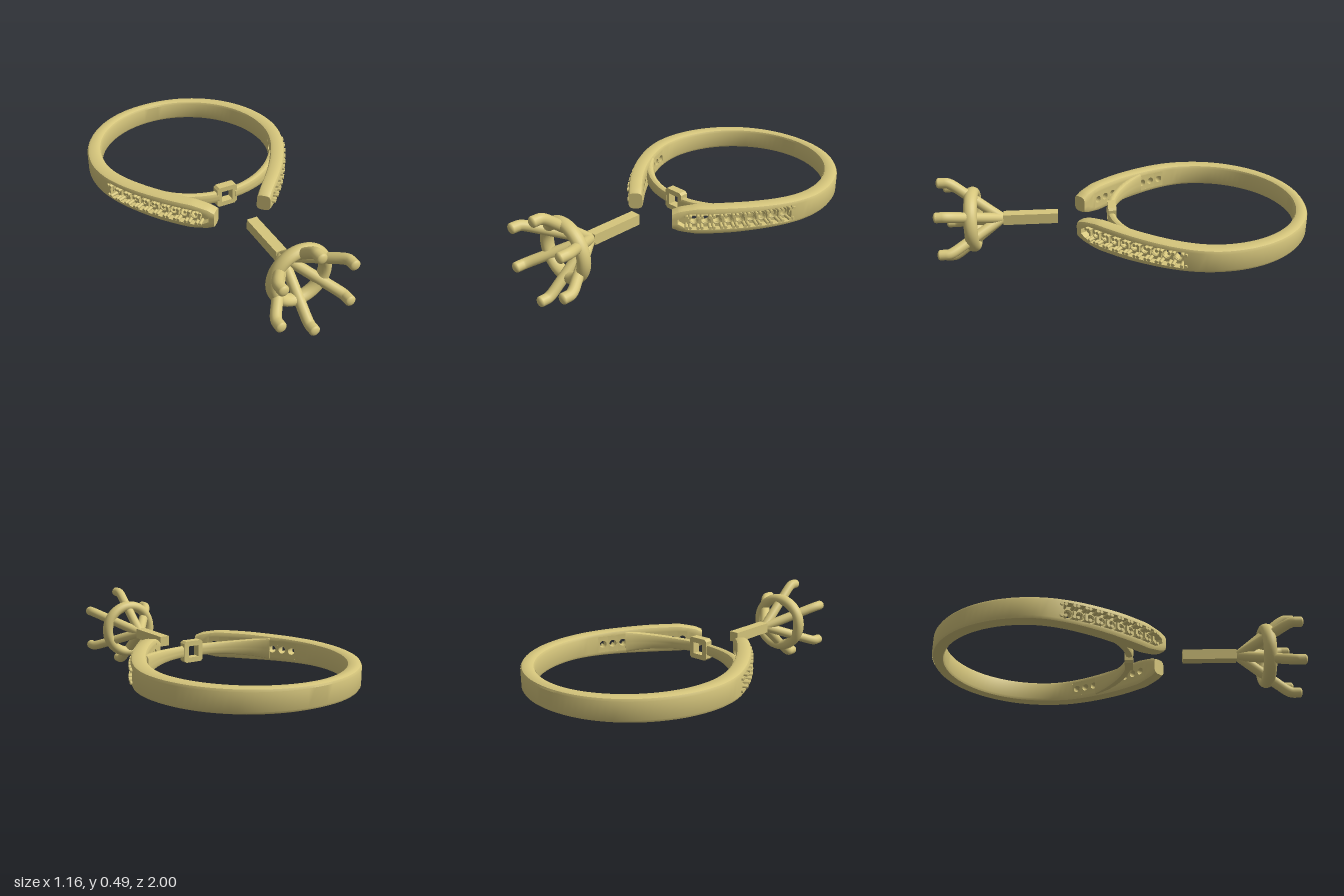
import * as THREE from 'three';
import { toCreasedNormals } from 'three/addons/utils/BufferGeometryUtils.js';

const CY = 0.25, CZ = -0.44, R = 0.495; // ring axis height, centre and inner radius
const PITCH = 0.058, CELLS = 9, S0 = 0.085, S1 = S0 + PITCH * CELLS; // stone channel
const UP = new THREE.Vector3(0, 1, 0);

// linear lookup in a small [position, value] table
function lerpTable(table, s) {
  for (let i = 1; i < table.length; i++) {
    if (s <= table[i][0]) {
      const [a, va] = table[i - 1], [b, vb] = table[i];
      return va + (vb - va) * (s - a) / (b - a);
    }
  }
  return table[table.length - 1][1];
}

function frameAt(curve, u) {
  const T = curve.getTangentAt(u).normalize();
  return { P: curve.getPointAt(u), T, N: new THREE.Vector3().crossVectors(T, UP) };
}

// rounded band section as [y, outward]; a groove of half width g and depth d runs along the outer face
function section({ h, t, g, d, c }) {
  const k = c * 0.3;
  const half = [[g, 0], [h - c, 0], [h - k, k], [h, c], [h, t - c], [h - k, t - k], [h - c, t], [g, t], [g, t - d]];
  return [...half, ...half.map(([y, n]) => [-y, n]).reverse()];
}

// sweep of sections; open stations leave the channel floor and the inner strip out
function loft(curve, stations) {
  const pos = [], idx = [];
  let n = 0;
  for (const st of stations) {
    const { P, N } = frameAt(curve, st.u);
    const pts = section(st);
    n = pts.length;
    for (const [y, o] of pts) pos.push(P.x + N.x * o, P.y + y, P.z + N.z * o);
  }
  for (let i = 0; i < stations.length - 1; i++) {
    const open = stations[i].open && stations[i + 1].open;
    for (let j = 0; j < n; j++) {
      if (open && (j === n / 2 - 1 || j === n - 1)) continue;
      const k = (j + 1) % n, a = i * n + j, b = i * n + k;
      idx.push(a, b, a + n, b, b + n, a + n);
    }
  }
  const e = (stations.length - 1) * n;
  for (let j = 1; j < n - 1; j++) idx.push(0, j + 1, j, e, e + j, e + j + 1);
  const geo = new THREE.BufferGeometry();
  geo.setAttribute('position', new THREE.Float32BufferAttribute(pos, 3));
  geo.setIndex(idx);
  return toCreasedNormals(geo, 0.7);
}

export function createModel() {
  const root = new THREE.Group();
  const gold = new THREE.MeshStandardMaterial({ color: 0xd6c67c });
  const add = (parent, geo, name) => {
    const m = new THREE.Mesh(geo, gold);
    m.name = name;
    parent.add(m);
    return m;
  };

  // Band: inner line from the left shoulder tip, round the back, to the right tip
  const tip = [[0.115, 0.215], [0.24, 0.085], [0.335, -0.035], [0.405, -0.145]];
  const line = tip.map(([x, z]) => new THREE.Vector3(x, CY, z));
  for (let a = 115; a >= -115; a -= 11.5) {
    const r = a * Math.PI / 180;
    line.push(new THREE.Vector3(R * Math.sin(r), CY, CZ - R * Math.cos(r)));
  }
  line.push(...tip.map(([x, z]) => new THREE.Vector3(-x, CY, z)).reverse());
  const path = new THREE.CatmullRomCurve3(line);
  path.arcLengthDivisions = 800;
  const L = path.getLength();
  const heights = [[0, 0.045], [0.04, 0.062], [0.13, 0.077], [0.3, 0.076], [0.75, 0.063], [1.5, 0.06]];
  const thick = [[0, 0.075], [0.3, 0.08], [0.75, 0.085], [1.5, 0.063]];
  const widths = [[0, 0.012], [0.03, 0.012], [S0, 0.045], [S1, 0.045]];
  const station = (s, depth, open = false) => {
    const t = lerpTable(thick, s);
    return { s, h: lerpTable(heights, s), t, g: lerpTable(widths, s), d: open ? t : depth, c: 0.02, open };
  };
  const side = [station(0, 0), station(0.015, 0), station(0.03, 0), station(0.036, 0.04), station(0.06, 0.04), station(S0, 0.04)];
  for (let i = 0; i <= CELLS * 3; i++) side.push(station(S0 + i * PITCH / 3, 0, true));
  for (let i = 0; i <= 30; i++) side.push(station(S1 + (L / 2 - S1) * i / 30, 0));
  const stations = side.map(o => ({ ...o, u: o.s / L }));
  stations.push(...side.slice(0, -1).reverse().map(o => ({ ...o, u: 1 - o.s / L })));
  add(root, loft(path, stations), 'band');

  // Stone channels: pierced floor plates, seats and beads along each shoulder
  const plate = new THREE.Shape();
  const pw = PITCH * 0.52, ph = 0.046;
  plate.moveTo(-pw, -ph).lineTo(pw, -ph).lineTo(pw, ph).lineTo(-pw, ph).closePath();
  plate.holes.push(new THREE.Path().absarc(0, 0, 0.02, 0, Math.PI * 2, true));
  const plateGeo = new THREE.ExtrudeGeometry(plate, { depth: 0.042, bevelEnabled: false, curveSegments: 16 });
  const seatGeo = new THREE.TorusGeometry(0.025, 0.005, 8, 24);
  const beadGeo = new THREE.CylinderGeometry(0.009, 0.009, 1, 10).rotateX(Math.PI / 2);
  const webGeo = new THREE.BoxGeometry(0.012, 0.03, 0.03);
  const placed = (s, mirrored, name) => {
    const { P, T, N } = frameAt(path, mirrored ? 1 - s / L : s / L);
    const g = new THREE.Group();
    g.name = name;
    g.applyMatrix4(new THREE.Matrix4().makeBasis(T, UP, N).setPosition(P));
    root.add(g);
    return g;
  };
  for (const mirrored of [false, true]) {
    const label = mirrored ? 'right' : 'left';
    for (let i = 0; i < CELLS; i++) {
      const cell = placed(S0 + (i + 0.5) * PITCH, mirrored, label + 'StoneSeat');
      add(cell, plateGeo, 'seatPlate');
      add(cell, seatGeo, 'seatRim').position.z = 0.045;
    }
    for (let i = 0; i <= CELLS; i++) {
      const s = S0 + i * PITCH, top = lerpTable(thick, s) + 0.01;
      const row = placed(s, mirrored, label + 'BeadRow');
      add(row, webGeo, 'web').position.z = 0.052;
      for (const y of [-0.031, 0.031]) for (const x of [-0.01, 0.01]) {
        const bead = add(row, beadGeo, 'bead');
        bead.scale.z = top - 0.03;
        bead.position.set(x, y, (top + 0.03) / 2);
      }
    }
  }

  // Bridge: two tapering arms closing the finger hole at the front
  for (const sgn of [-1, 1]) {
    const pts = [];
    for (let i = 0; i <= 8; i++) {
      const a = (sgn < 0 ? -52 + 47 * i / 8 : 5 + 47 * i / 8) * Math.PI / 180;
      pts.push(new THREE.Vector3(R * Math.sin(a), CY, CZ + R * Math.cos(a)));
    }
    const arm = [];
    for (let i = 0; i <= 24; i++) {
      const u = i / 24, out = sgn < 0 ? 1 - u : u;
      arm.push({ u, h: 0.032 + 0.03 * out * out, t: 0.042, g: 0.005, d: 0, c: 0.017 });
    }
    add(root, loft(new THREE.CatmullRomCurve3(pts), arm), sgn < 0 ? 'rightBridgeArm' : 'leftBridgeArm');
  }

  // Collar: square socket in the middle of the bridge
  const collar = new THREE.Shape();
  const o = 0.06, b = 0.012, q = 0.032;
  collar.moveTo(-o + b, -o).lineTo(o - b, -o).lineTo(o, -o + b).lineTo(o, o - b)
    .lineTo(o - b, o).lineTo(-o + b, o).lineTo(-o, o - b).lineTo(-o, -o + b).closePath();
  collar.holes.push(new THREE.Path().moveTo(-q, -q).lineTo(-q, q).lineTo(q, q).lineTo(q, -q).closePath());
  add(root, new THREE.ExtrudeGeometry(collar, { depth: 0.045, bevelEnabled: false }), 'collar').position.set(0, CY, 0.047);

  // Head: peg, gallery ring and six claws
  const head = new THREE.Group();
  head.name = 'head';
  head.position.y = CY;
  root.add(head);
  add(head, new THREE.BoxGeometry(0.058, 0.058, 0.295), 'peg').position.z = 0.5125;
  add(head, new THREE.TorusGeometry(0.146, 0.031, 20, 64).scale(1, 1, 1.15), 'galleryRing').position.z = 0.822;
  const claw = new THREE.CurvePath();
  const v = (r, z) => new THREE.Vector3(0, r, z);
  claw.add(new THREE.LineCurve3(v(0, 0.668), v(0.19, 0.897)));
  claw.add(new THREE.QuadraticBezierCurve3(v(0.19, 0.897), v(0.219, 0.932), v(0.219, 0.95)));
  claw.add(new THREE.LineCurve3(v(0.219, 0.95), v(0.219, 0.985)));
  const clawGeo = new THREE.TubeGeometry(claw, 48, 0.028, 16);
  const endGeo = new THREE.SphereGeometry(0.028, 16, 12).scale(1, 1, 0.55);
  const rootGeo = new THREE.SphereGeometry(0.03, 16, 12);
  add(head, rootGeo, 'clawRoot').position.z = 0.672;
  for (let i = 0; i < 6; i++) {
    const g = new THREE.Group();
    g.name = 'claw';
    g.rotation.z = i * Math.PI / 3;
    add(g, clawGeo, 'clawWire');
    add(g, endGeo, 'clawTip').position.set(0, 0.219, 0.985);
    head.add(g);
  }
  return root;
}
